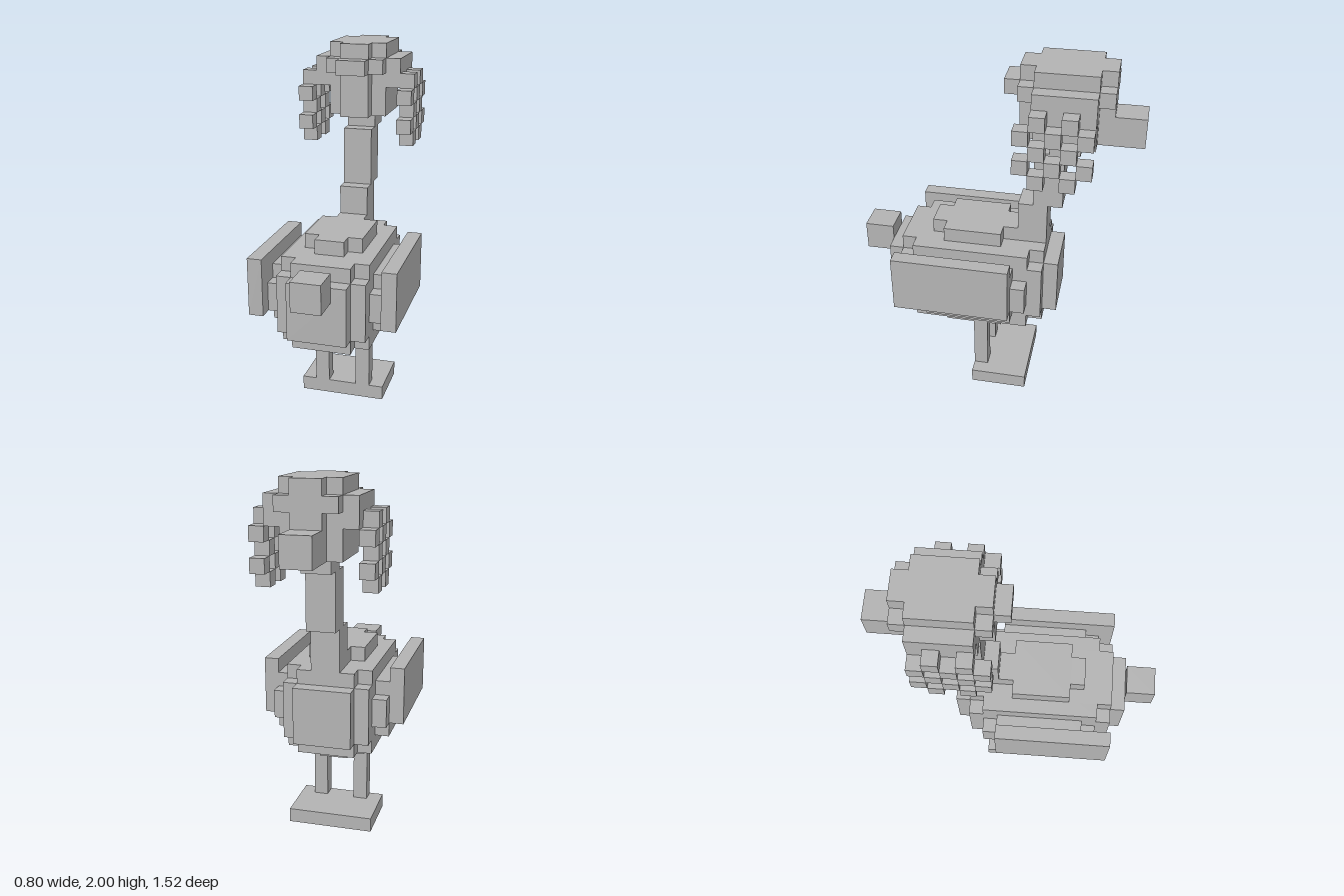
import * as THREE from 'three';

export function createModel() {
  const model = new THREE.Group();
  model.name = 'blockBird';
  const grey = new THREE.MeshStandardMaterial({ color: 0xb4b4b4 });
  grey.name = 'grey';

  // Axis-aligned block given by its extents
  function block(name, x0, x1, y0, y1, z0, z1) {
    const mesh = new THREE.Mesh(new THREE.BoxGeometry(x1 - x0, y1 - y0, z1 - z0), grey);
    mesh.position.set((x0 + x1) / 2, (y0 + y1) / 2, (z0 + z1) / 2);
    mesh.name = name;
    model.add(mesh);
  }
  const centred = (name, half, ...r) => block(name, -half, half, ...r);
  const pair = (name, x0, x1, ...r) => {
    block(name + 'Left', x0, x1, ...r);
    block(name + 'Right', -x1, -x0, ...r);
  };

  // Stand and legs
  centred('base', 0.24, 0, 0.08, -0.2, 0.12);
  pair('leg', 0.08, 0.16, 0.08, 0.4, 0.04, 0.12);

  // Rounded body: stepped layers, [half width, y0, y1, z0, z1]
  [
    [0.16, 0.4, 0.48, -0.04, 0.28],
    [0.08, 0.4, 0.48, -0.12, 0.36],
    [0.24, 0.48, 0.56, -0.2, 0.44],
    [0.16, 0.48, 0.56, -0.28, 0.52],
    [0.24, 0.56, 0.88, -0.28, 0.52],
    [0.16, 0.56, 0.88, -0.36, 0.6],
    [0.32, 0.56, 0.88, -0.12, 0.36],
    [0.32, 0.64, 0.8, -0.2, 0.44],
    [0.24, 0.88, 0.96, -0.2, 0.44],
    [0.16, 0.88, 0.96, -0.28, 0.52],
    [0.16, 0.96, 1.04, -0.04, 0.28],
    [0.08, 0.96, 1.04, -0.12, 0.36],
  ].forEach((b) => centred('body', ...b));

  // Wings and tail
  pair('wing', 0.32, 0.4, 0.64, 0.96, -0.12, 0.52);
  centred('tail', 0.08, 0.8, 0.96, 0.6, 0.76);

  // Neck stepping forward
  centred('lowerNeck', 0.08, 0.96, 1.2, -0.28, -0.12);
  centred('upperNeck', 0.08, 1.2, 1.52, -0.36, -0.2);
  centred('neckTop', 0.08, 1.52, 1.6, -0.44, -0.28);

  // Head, crown and beak
  centred('head', 0.16, 1.6, 2.0, -0.52, -0.2);
  centred('face', 0.08, 1.6, 2.0, -0.6, -0.12);
  centred('crown', 0.16, 1.84, 1.92, -0.6, -0.12);
  centred('crownSides', 0.24, 1.84, 1.92, -0.52, -0.2);
  centred('crownBack', 0.08, 1.84, 1.92, -0.12, -0.04);
  centred('beak', 0.08, 1.6, 1.76, -0.76, -0.6);

  // Curls hanging beside the head in a checker pattern
  pair('curlRoot', 0.16, 0.24, 1.76, 1.84, -0.52, -0.2);
  for (let row = 0; row < 5; row++) {
    for (let col = 0; col < 5; col++) {
      if ((row + col) % 2 === 0) continue;
      const y = 1.44 + row * 0.08, z = -0.12 - col * 0.08;
      pair('curl', 0.24, 0.32, y, y + 0.08, z - 0.08, z);
    }
  }
  return model;
}
